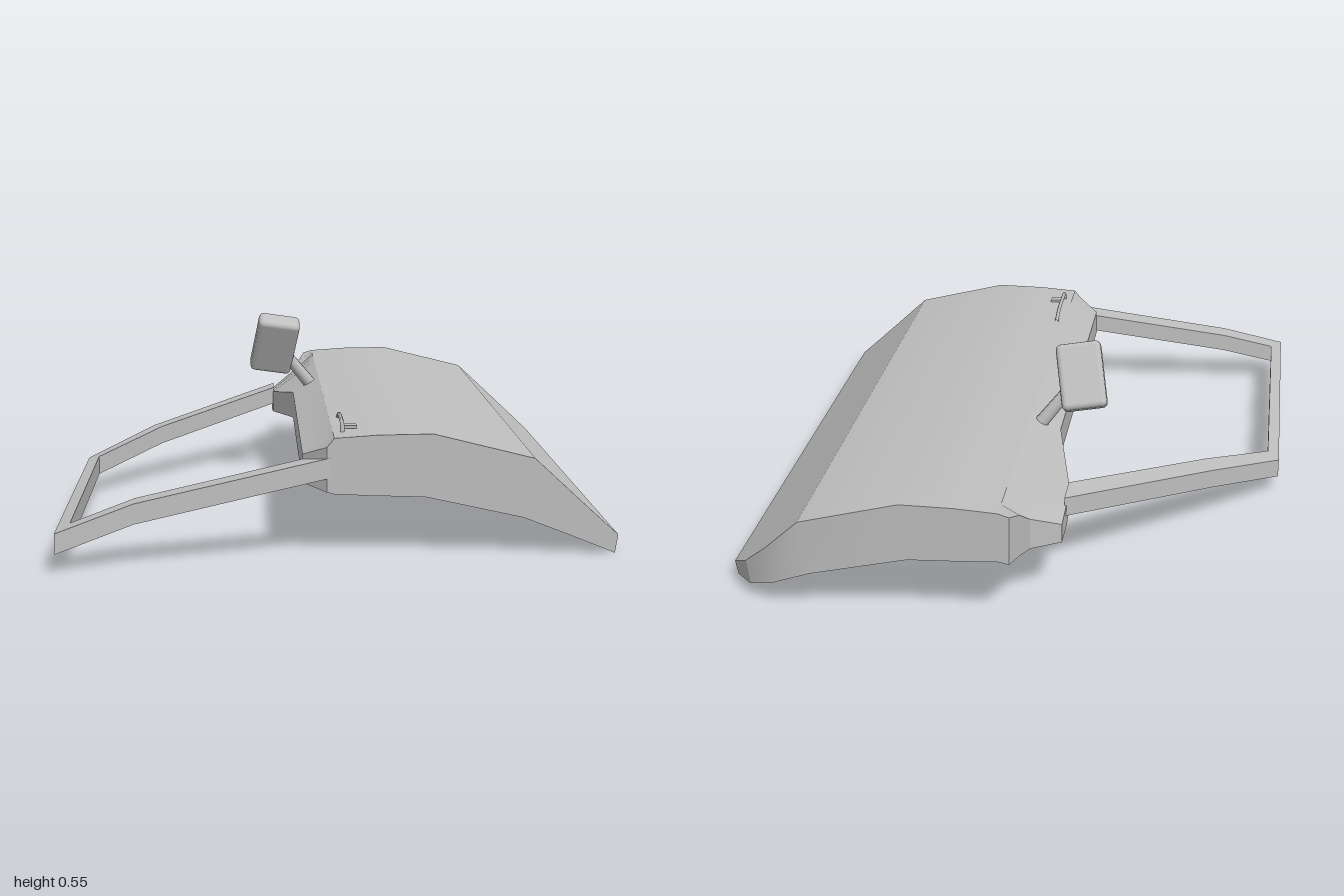
import * as THREE from 'three';
import { toCreasedNormals } from 'three/addons/utils/BufferGeometryUtils.js';
import { RoundedBoxGeometry } from 'three/addons/geometries/RoundedBoxGeometry.js';

const grey = new THREE.MeshStandardMaterial({ color: 0xbfbfbf });
grey.name = 'light grey';

// Skin a list of closed rings; each ring runs left to right on top, then back underneath
function loft(rings, crease) {
  const n = rings[0].length, half = n / 2, index = [];
  const quad = (a, b, c, d) => index.push(a, b, c, a, c, d);
  for (let s = 0; s < rings.length - 1; s++) {
    for (let i = 0; i < n; i++) {
      const j = (i + 1) % n;
      quad(s * n + i, s * n + j, (s + 1) * n + j, (s + 1) * n + i);
    }
  }
  const last = (rings.length - 1) * n;
  for (let i = 0; i < half - 1; i++) {
    const under = n - 1 - i;
    quad(i, under, under - 1, i + 1);
    quad(last + i, last + i + 1, last + under - 1, last + under);
  }
  const geo = new THREE.BufferGeometry();
  geo.setAttribute('position', new THREE.Float32BufferAttribute(rings.flat(2), 3));
  geo.setIndex(index);
  return toCreasedNormals(geo, crease);
}

function part(group, name, geo) {
  const mesh = new THREE.Mesh(geo, grey);
  mesh.name = name;
  group.add(mesh);
  return mesh;
}

// Door panel: curved section along z, with a rounded rear corner
function panelGeometry() {
  // x top, y top, x bottom, y bottom, z of the rear end
  const columns = [
    [-0.02, 0.33, -0.02, 0.175, -1], [0.1, 0.338, 0.08, 0.17, -1],
    [0.25, 0.34, 0.23, 0.165, -1], [0.53, 0.27, 0.5, 0.105, -1],
    [0.63, 0.177, 0.61, 0.062, -0.985], [0.7, 0.112, 0.69, 0.03, -0.94],
    [0.763, 0.055, 0.755, 0.003, -0.84],
  ];
  // z, then x, top y and bottom y of the window-side edge
  const stations = [
    [0.84, -0.04, 0.305, 0.18], [0.775, -0.105, 0.275, 0.195],
    [-0.3, -0.105, 0.28, 0.195], [-0.61, -0.168, 0.235, 0.165],
    [-0.71, -0.17, 0.225, 0.157], [-0.81, -0.17, 0.215, 0.16],
    [-0.88, -0.09, 0.26, 0.17], [-0.94, -0.07, 0.3, 0.178], [-1, -0.05, 0.32, 0.18],
  ];
  return loft(stations.map(([z, ex, et, eb]) => {
    const endZ = (zb) => (z < -0.8 ? -0.8 + (z + 0.8) * (zb + 0.8) / -0.2 : z);
    const top = columns.map(([x, y, , , zb]) => [x, y, endZ(zb)]);
    const bottom = columns.map(([, , x, y, zb]) => [x, y + 0.006 * (0.84 - z), endZ(zb)]);
    return [[ex, et, z], ...top, ...bottom.reverse(), [ex, eb, z]];
  }), 0.4);
}

// Window frame: outer and inner corners; the height follows x
function frameGeometry() {
  const top = (x) => (x < -0.56 ? 0.175 + (x + 0.56) * 0.32 : 0.175 + (x + 0.56) * 0.19);
  const corners = [ // outer x, z, inner x, z
    [-0.03, 0.84, -0.1, 0.775], [-0.56, 0.94, -0.56, 0.865],
    [-0.765, 1, -0.73, 0.92], [-0.765, -0.06, -0.73, -0.02],
    [-0.57, -0.3, -0.54, -0.235], [-0.165, -0.715, -0.165, -0.61],
  ];
  return loft(corners.map(([ox, oz, ix, iz]) => [
    [ox, top(ox), oz], [ix, top(ix), iz],
    [ix, top(ix) - 0.056, iz], [ox, top(ox) - 0.056, oz],
  ]), 0.3);
}

export function createModel() {
  const model = new THREE.Group();
  model.name = 'vehicleDoor';
  part(model, 'doorPanel', panelGeometry());
  part(model, 'windowFrame', frameGeometry());

  // Wing mirror on a slanted stalk
  const mirror = new THREE.Group();
  mirror.name = 'wingMirror';
  const housing = part(mirror, 'mirrorHousing', new RoundedBoxGeometry(0.135, 0.2, 0.068, 2, 0.016));
  housing.position.set(-0.165, 0.447, -0.28);
  housing.rotation.set(0.5, 0, -0.17);
  const from = new THREE.Vector3(-0.03, 0.285, -0.32);
  const to = new THREE.Vector3(-0.125, 0.405, -0.3);
  const along = to.clone().sub(from);
  const stalk = part(mirror, 'mirrorStalk', new THREE.CylinderGeometry(0.018, 0.022, along.length(), 10));
  stalk.position.copy(from).lerp(to, 0.5);
  stalk.quaternion.setFromUnitVectors(new THREE.Vector3(0, 1, 0), along.normalize());
  model.add(mirror);

  // Door handle: a thin bow with a small lock plate
  const handle = new THREE.Group();
  handle.name = 'doorHandle';
  const bow = new THREE.CatmullRomCurve3([
    [0.745, 0.33], [0.74, 0.352], [0.68, 0.356], [0.57, 0.352], [0.5, 0.333],
  ].map(([z, y]) => new THREE.Vector3(0.006, y, z)));
  part(handle, 'handleBow', new THREE.TubeGeometry(bow, 16, 0.006, 6));
  part(handle, 'lockPlate', new THREE.BoxGeometry(0.04, 0.008, 0.03)).position.set(0.028, 0.34, 0.705);
  model.add(handle);
  return model;
}
